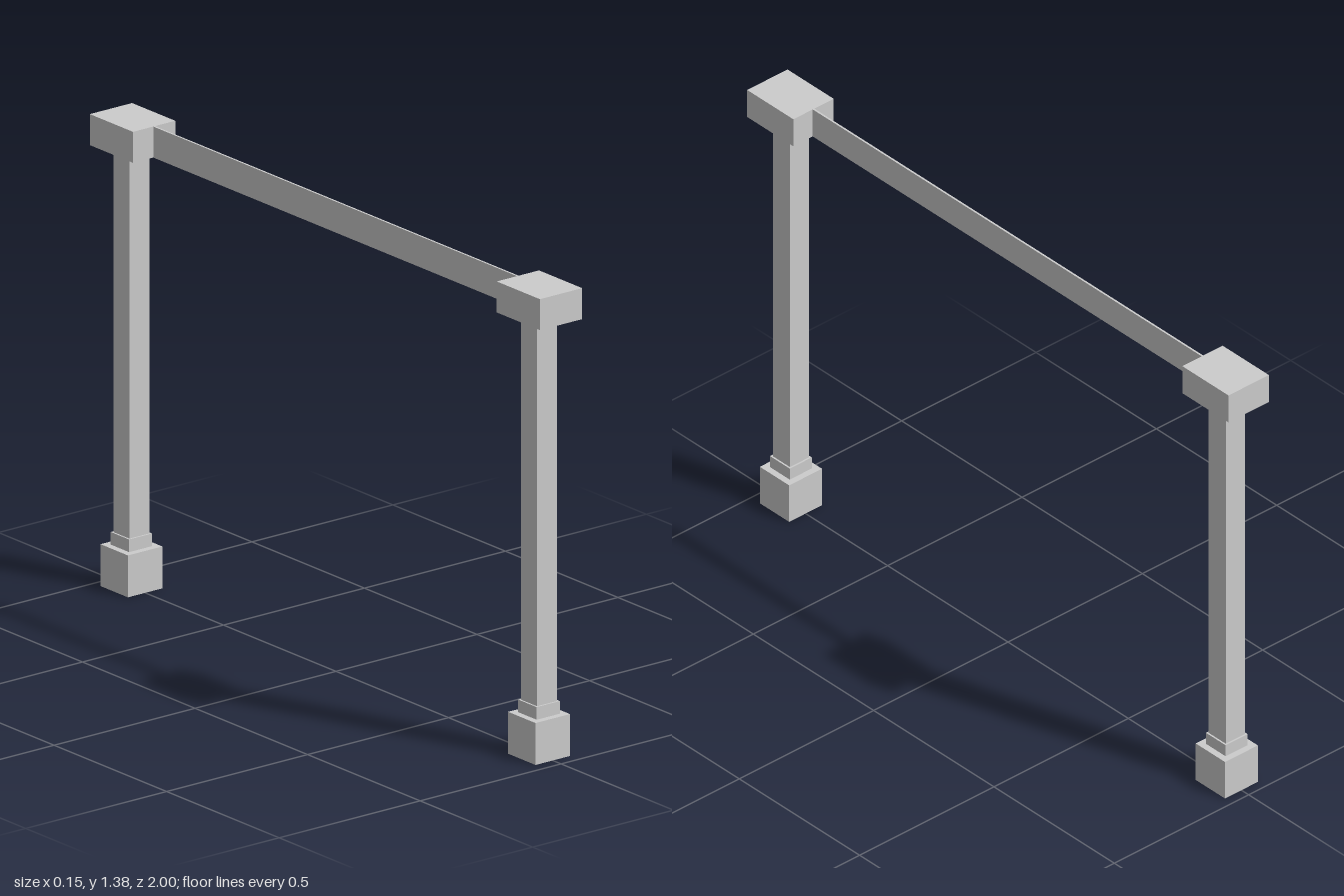
import * as THREE from 'three';

const material = new THREE.MeshStandardMaterial({ color: 0xcccccc, flatShading: true });

// Box given by width, depth, and its bottom and top heights
function block(name, width, depth, bottom, top, z = 0) {
  const mesh = new THREE.Mesh(new THREE.BoxGeometry(width, top - bottom, depth), material);
  mesh.name = name;
  mesh.position.set(0, (bottom + top) / 2, z);
  return mesh;
}

export function createModel() {
  const model = new THREE.Group();
  model.name = 'gateFrame';

  // Two columns: plinth, collar, square shaft and oblong cap
  for (const [name, side, z] of [['front', 1, 0.902], ['back', -1, -0.909]]) {
    const column = new THREE.Group();
    column.name = name + 'Column';
    column.add(
      block('plinth', 0.122, 0.122, 0, 0.123, z),
      block('collar', 0.082, 0.082, 0.123, 0.16, z),
      block('shaft', 0.071, 0.071, 0.16, 1.289, z),
      block('cap', 0.15, 0.192, 1.289, 1.38, side * 0.904)
    );
    model.add(column);
  }

  // Thin crossbeam between the caps
  model.add(block('crossbeam', 0.006, 1.616, 1.289, 1.38));

  return model;
}
